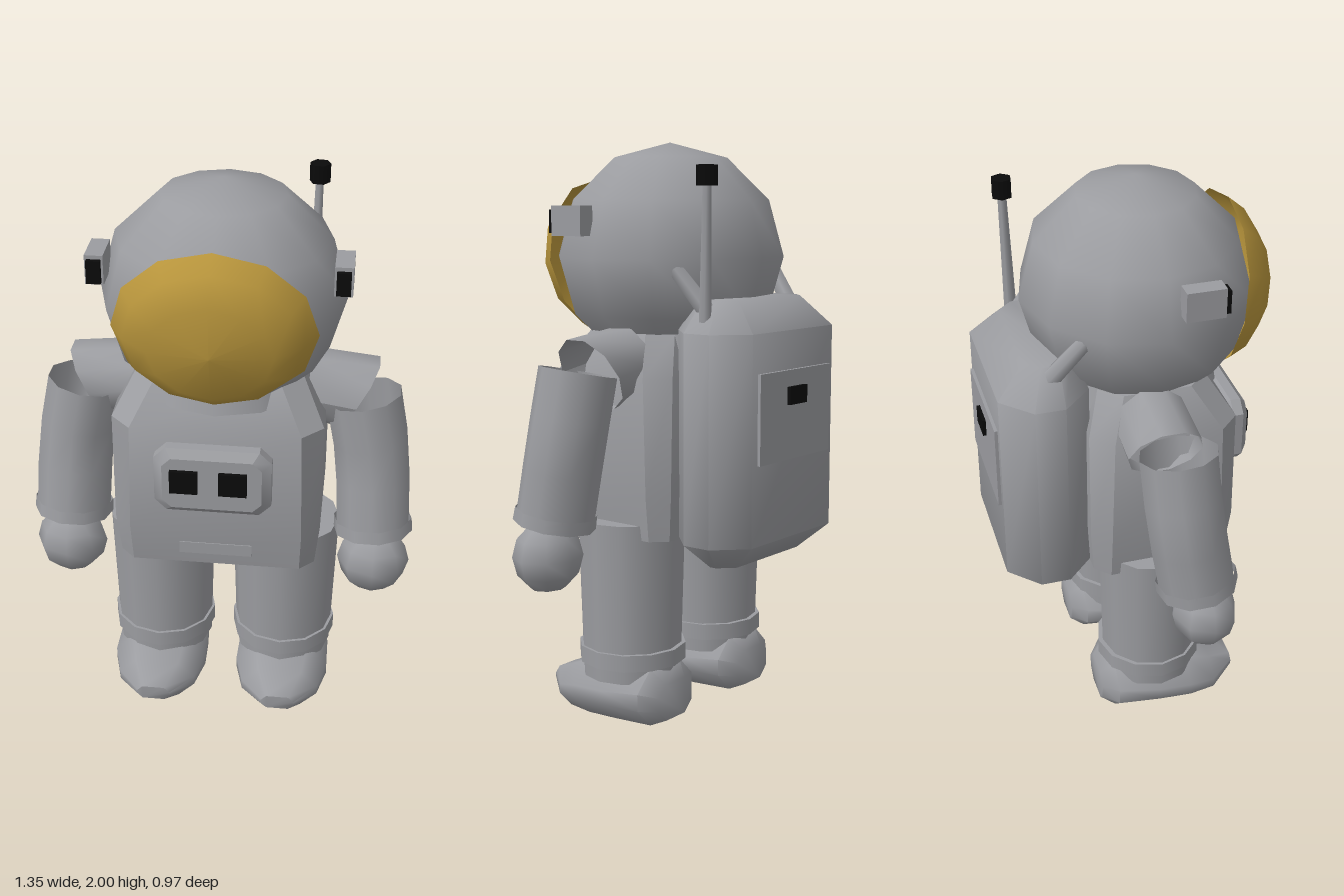
import * as THREE from 'three';
import { toCreasedNormals } from 'three/addons/utils/BufferGeometryUtils.js';

const mat = (name, color) => new THREE.MeshStandardMaterial({ name, color, side: THREE.DoubleSide });
const V = (x, y, z) => new THREE.Vector3(x, y, z);

export function createModel() {
  const grey = mat('suit grey', 0x9b9ca0);
  const gold = mat('visor gold', 0xb8953c);
  const black = mat('black', 0x0a0a0a);
  const model = new THREE.Group();
  model.name = 'astronaut';

  const add = (name, geo, material = grey, x = 0, y = 0, z = 0) => {
    const mesh = new THREE.Mesh(geo, material);
    mesh.name = name;
    mesh.position.set(x, y, z);
    model.add(mesh);
    return mesh;
  };
  const box = (name, w, h, d, x, y, z, material = grey) =>
    add(name, new THREE.BoxGeometry(w, h, d), material, x, y, z);

  // Straight tapered tube from p to q
  const rod = (name, p, q, r1, r2, sides, open = false, material = grey) => {
    const dir = q.clone().sub(p);
    const geo = new THREE.CylinderGeometry(r2, r1, dir.length(), sides, 1, open);
    geo.applyQuaternion(new THREE.Quaternion().setFromUnitVectors(V(0, 1, 0), dir.normalize()));
    const c = p.clone().add(q).multiplyScalar(0.5);
    return add(name, geo, material, c.x, c.y, c.z);
  };

  // Solid through chamfered rectangles; ring = [y, halfWidth, front, back, chamfer]
  const loft = (rings, crease = 0.9) => {
    const pos = [], idx = [];
    for (const [y, w, f, b, c] of rings) {
      for (const [x, z] of [[-w + c, f], [w - c, f], [w, f - c], [w, b + c],
        [w - c, b], [-w + c, b], [-w, b + c], [-w, f - c]]) pos.push(x, y, z);
    }
    for (let i = 0; i < rings.length - 1; i++) {
      for (let j = 0; j < 8; j++) {
        const a = i * 8 + j, b = i * 8 + (j + 1) % 8;
        idx.push(a, b, b + 8, a, b + 8, a + 8);
      }
    }
    const t = (rings.length - 1) * 8;
    for (let j = 1; j < 7; j++) idx.push(0, j + 1, j, t, t + j, t + j + 1);
    const geo = new THREE.BufferGeometry();
    geo.setAttribute('position', new THREE.Float32BufferAttribute(pos, 3));
    geo.setIndex(idx);
    return toCreasedNormals(geo.toNonIndexed(), crease);
  };

  // Helmet, visor and collar
  const head = new THREE.SphereGeometry(1, 12, 6);
  head.scale(0.41, 0.39, 0.395);
  add('helmet', head, grey, 0, 1.61, 0.068);
  const visor = new THREE.LatheGeometry(
    [[1, 0], [0.87, 0.065], [0.6, 0.132], [0, 0.152]].map(([r, y]) => new THREE.Vector2(r, y)), 12);
  visor.scale(0.33, 1, 0.29);
  visor.rotateX(THREE.MathUtils.degToRad(100));
  add('visor', visor, gold, 0, 1.597, 0.334);
  add('collar', new THREE.CylinderGeometry(0.27, 0.3, 0.1, 12), grey, 0, 1.34, 0.05);

  // Torso
  add('torso', loft([
    [0.67, 0.34, 0.32, -0.16, 0.05],
    [0.82, 0.355, 0.34, -0.17, 0.06],
    [1.22, 0.355, 0.34, -0.17, 0.07],
    [1.36, 0.28, 0.25, -0.12, 0.07],
  ], 0.6));
  box('crotch', 0.12, 0.12, 0.2, 0, 0.65, 0.06);
  box('beltFlap', 0.25, 0.045, 0.008, 0, 0.743, 0.332);

  // Chest control panel
  const panel = loft([
    [0.345, 0.17, 0.1, -0.1, 0.03],
    [0.37, 0.195, 0.122, -0.122, 0.04],
    [0.405, 0.195, 0.122, -0.122, 0.04],
    [0.43, 0.165, 0.095, -0.095, 0.03],
  ], 0.5);
  panel.rotateX(Math.PI / 2);
  add('chestPanel', panel, grey, 0, 1.072, 0);
  for (const x of [-0.092, 0.07]) box('chestDisplay', 0.093, 0.083, 0.016, x, 1.084, 0.437, black);

  // Backpack with rear hatch
  add('backpack', loft([
    [0.59, 0.23, -0.235, -0.36, 0.05],
    [0.68, 0.335, -0.155, -0.457, 0.1],
    [1.38, 0.335, -0.155, -0.457, 0.1],
    [1.48, 0.23, -0.2, -0.36, 0.05],
  ]));
  box('hatch', 0.41, 0.3, 0.012, 0, 1.1, -0.462);
  box('hatchLabel', 0.1, 0.06, 0.014, 0, 1.165, -0.473, black);

  // Antenna
  rod('antenna', V(0.28, 1.4, -0.3), V(0.285, 1.86, -0.31), 0.022, 0.015, 6);
  const tip = add('antennaTip', new THREE.CylinderGeometry(0.036, 0.036, 0.065, 6), black, 0.286, 1.88, -0.31);
  tip.rotation.y = 0.4;

  for (const s of [1, -1]) {
    // Helmet lamps and backpack hoses
    box('lampHousing', 0.06, 0.1, 0.13, s * 0.395, 1.735, 0.17);
    box('lampLens', 0.046, 0.078, 0.018, s * 0.395, 1.733, 0.243, black);
    rod('hose', V(s * 0.235, 1.43, -0.29), V(s * 0.27, 1.58, -0.172), 0.034, 0.028, 6);

    // Shoulder sleeve with a slanted outer rim
    const shoulder = new THREE.CylinderGeometry(0.125, 0.125, 0.16, 10, 1, true);
    shoulder.rotateZ(-Math.PI / 2);
    const p = shoulder.attributes.position;
    for (let i = 0; i < p.count; i++) {
      const outer = p.getX(i) > 0, y = p.getY(i);
      if (outer) p.setXY(i, p.getX(i) + y * 0.6, y - 0.025);
    }
    if (s < 0) shoulder.rotateY(Math.PI);
    shoulder.computeVertexNormals();
    add('shoulder', shoulder, grey, s * 0.375, 1.26, 0.04);

    // Arm, cuff and hand
    const path = new THREE.CatmullRomCurve3([
      V(s * 0.478, 1.245, 0.075), V(s * 0.52, 1.02, 0.09), V(s * 0.537, 0.76, 0.13)]);
    add('arm', new THREE.TubeGeometry(path, 3, 0.132, 10));
    rod('wristCuff', V(s * 0.535, 0.78, 0.127), V(s * 0.538, 0.735, 0.134), 0.138, 0.14, 10, true);
    const hand = new THREE.SphereGeometry(0.125, 8, 6);
    hand.scale(1.02, 1, 0.9);
    add('hand', hand, grey, s * 0.545, 0.622, 0.16);

    // Leg and ankle cuff
    const leg = new THREE.CylinderGeometry(0.192, 0.176, 0.56, 12);
    leg.scale(1, 1, 0.98);
    add('leg', leg, grey, s * 0.225, 0.44, 0.063);
    add('ankleCuff', new THREE.CylinderGeometry(0.189, 0.189, 0.058, 12), grey, s * 0.225, 0.239, 0.06);

    // Boot, lofted from heel to toe
    const boot = loft([
      [-0.138, 0.09, -0.03, -0.16, 0.04],
      [-0.09, 0.15, -0.01, -0.21, 0.07],
      [0.06, 0.168, -0.005, -0.2, 0.075],
      [0.18, 0.17, 0, -0.195, 0.075],
      [0.28, 0.14, 0, -0.155, 0.06],
      [0.375, 0.06, -0.06, -0.115, 0.02],
    ], 1.0);
    boot.rotateX(Math.PI / 2);
    boot.scale(1, 1, 1);
    add('boot', boot, grey, s * 0.23, 0, 0);
  }
  return model;
}
